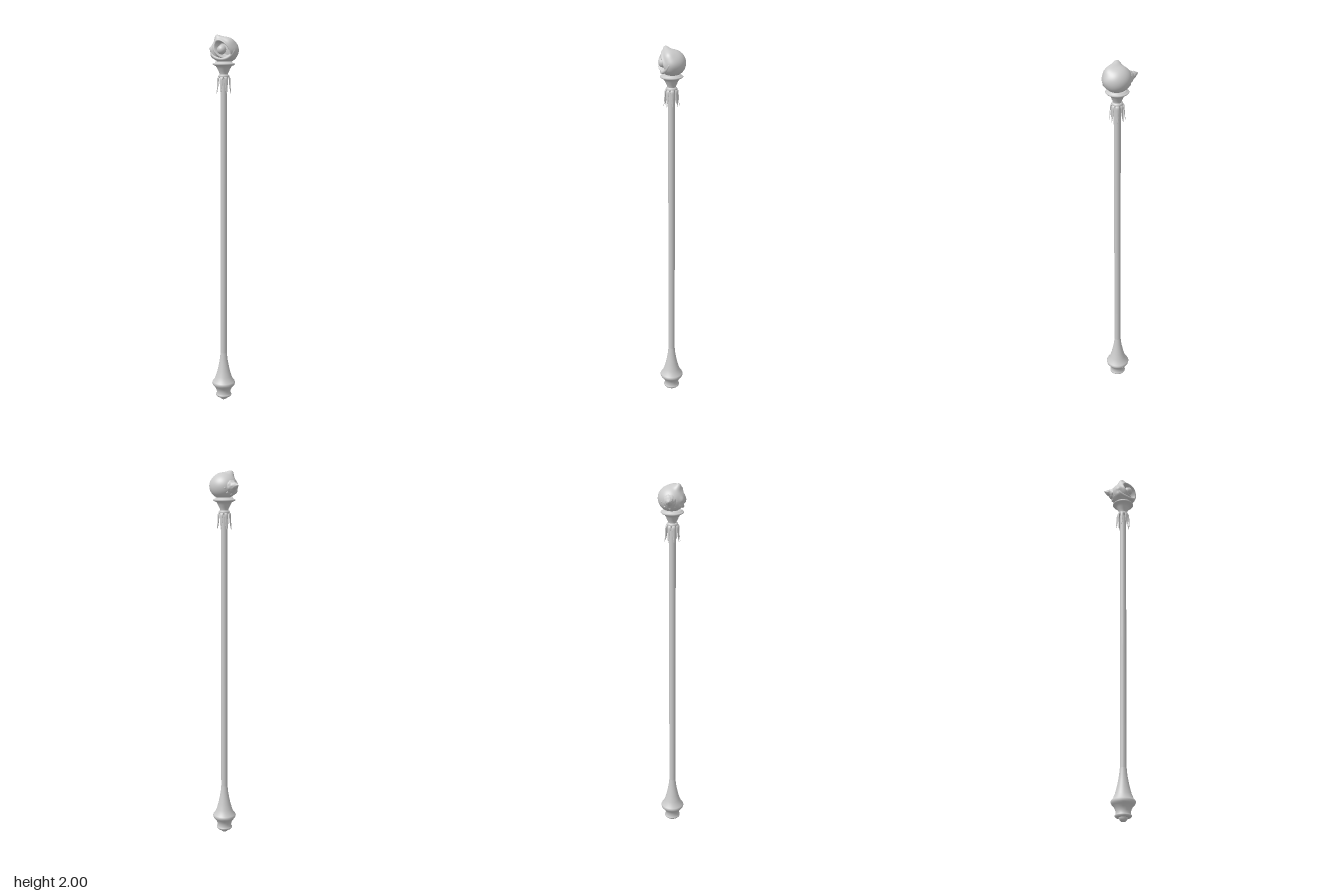
import * as THREE from 'three';

const AXIS_X = 0.009;
const V = (x, y, z) => new THREE.Vector3(x, y, z);

export function createModel() {
  const staff = new THREE.Group();
  staff.name = 'staff';
  const mat = new THREE.MeshStandardMaterial({ color: 0xcccccc, side: THREE.DoubleSide });

  const add = (name, geo, parent = staff) => {
    const mesh = new THREE.Mesh(geo, mat);
    mesh.name = name;
    parent.add(mesh);
    return mesh;
  };
  const turned = (name, pts, parent) =>
    add(name, new THREE.LatheGeometry(pts.map(([r, y]) => new THREE.Vector2(r, y)), 40), parent);
  // Move every vertex of a geometry by a rule
  const deform = (geo, rule) => {
    const p = geo.attributes.position, v = V();
    for (let i = 0; i < p.count; i++) {
      rule(v.fromBufferAttribute(p, i));
      p.setXYZ(i, v.x, v.y, v.z);
    }
    geo.computeVertexNormals();
    return geo;
  };

  // Turned parts on the staff axis
  const pole = new THREE.Group();
  pole.name = 'pole';
  pole.position.x = AXIS_X;
  staff.add(pole);
  turned('shaft', [[0.0175, 0.25], [0.0175, 1.79]], pole);
  turned('pommelFlare', [[0.054, 0.082], [0.061, 0.09], [0.064, 0.1], [0.061, 0.108], [0.052, 0.118],
    [0.043, 0.14], [0.034, 0.172], [0.026, 0.21], [0.021, 0.24], [0.0175, 0.275]], pole);
  turned('pommelFoot', [[0.022, 0.022], [0.038, 0.022], [0.043, 0.028], [0.043, 0.034], [0.038, 0.038],
    [0.039, 0.055], [0.045, 0.07], [0.055, 0.083]], pole);
  turned('endKnob', [[0.0001, 0], [0.01, 0.002], [0.018, 0.008], [0.023, 0.018], [0.023, 0.026]], pole);
  turned('neckRing', [[0.018, 1.774], [0.027, 1.778], [0.03, 1.785], [0.027, 1.792], [0.021, 1.795]], pole);
  turned('cup', [[0.021, 1.792], [0.022, 1.8], [0.027, 1.81], [0.033, 1.824], [0.041, 1.837],
    [0.056, 1.844], [0.059, 1.848], [0.056, 1.852], [0.046, 1.854], [0.044, 1.862], [0.0001, 1.862]], pole);

  // Drooping pointed leaves below the neck ring
  const leafPath = new THREE.CatmullRomCurve3([V(0, 1.788, 0.019), V(0, 1.778, 0.031),
    V(0, 1.755, 0.034), V(0, 1.725, 0.036), V(0, 1.698, 0.04)]);
  for (let i = 0; i < 8; i++) {
    const leaf = deform(new THREE.CylinderGeometry(1, 1, 1, 10, 14), v => {
      const t = 0.5 - v.y, c = leafPath.getPoint(t);
      const width = 0.0105 * Math.sqrt(1 - t * 0.98) * (0.75 + 0.35 * Math.sin(Math.PI * t));
      v.set(v.x * width, c.y, c.z + v.z * 0.004 * (1 - 0.75 * t) - 4 * (v.x * width) ** 2);
    });
    add('leaf', leaf, pole).rotation.y = i * Math.PI / 4;
  }

  // Shell body: an ellipsoid with a crest, a raised lip and a sunken slanting mouth
  const shell = new THREE.Group();
  shell.name = 'shell';
  shell.position.set(0.012, 1.918, -0.004);
  staff.add(shell);
  const swellings = [ // direction, height, sharpness
    [V(-0.033, 0.08, 0.034), 0.021, 34],
    [V(0.0, 0.075, 0.037), 0.008, 16],
    [V(0.043, 0.057, 0.03), 0.01, 12],
    [V(0.078, 0.008, 0.014), 0.004, 14],
    [V(-0.055, 0.004, 0.042), 0.006, 40],
    [V(-0.05, -0.03, 0.035), 0.007, 40],
  ].map(([d, h, k]) => [d.normalize(), h, k]);
  const smooth = THREE.MathUtils.smoothstep;
  const body = new THREE.SphereGeometry(1, 72, 72).rotateX(Math.PI / 2);
  add('shellBody', deform(body, v => {
    const dir = v.clone().normalize();
    v.set(dir.x * 0.074, dir.y * 0.066, dir.z * 0.068);
    for (const [d, h, k] of swellings) v.addScaledVector(dir, h * Math.exp(-k * (1 - dir.dot(d))));
    if (dir.z > 0) {
      const x = v.x - 0.01, y = v.y - 0.006;
      const e = Math.hypot((x - y) * 0.707 / 0.05, (x + y) * 0.707 / 0.03);
      v.z += 0.006 * Math.exp(-(((e - 1.15) / 0.18) ** 2));
      v.z -= v.z * 0.7 * (1 - smooth(e, 0.72, 1.08));
    }
  }), shell);

  // Pearl held in the mouth
  add('pearl', new THREE.SphereGeometry(0.024, 32, 24), shell).position.set(0.004, 0.004, 0.047);

  // Spire: shrinking whorls leading to the tip
  const spireProfile = [];
  for (let i = 0; i <= 40; i++) {
    const t = i / 40;
    const r = 0.047 * (1 - t) ** 0.9 + 0.0035 * Math.sin(t * Math.PI * 6) * (1 - t);
    spireProfile.push(new THREE.Vector2(Math.max(r, 0.0001), t * 0.08));
  }
  const spireGeo = deform(new THREE.LatheGeometry(spireProfile, 40), v => {
    const a = Math.atan2(v.z, v.x), s = 1 + 0.04 * Math.cos(a * 8) * Math.sin(v.y * 230);
    v.x *= s;
    v.z *= s;
  });
  const spire = add('spire', spireGeo, shell);
  const from = V(-0.033, -0.002, -0.012), tip = V(-0.102, 0.009, -0.037);
  const along = tip.clone().sub(from).normalize();
  spire.position.copy(from);
  spire.quaternion.setFromUnitVectors(V(0, 1, 0), along);

  // Row of blunt knobs around the shoulder of the shell
  for (let i = 0; i < 9; i++) {
    const a = i / 9 * Math.PI * 2;
    const knob = add('shoulderKnob', new THREE.SphereGeometry(0.0065, 14, 10), spire);
    knob.position.set(Math.cos(a) * 0.037, 0.016, Math.sin(a) * 0.037);
    knob.scale.set(1.3, 1, 1);
    knob.rotation.y = -a;
  }

  // Curled lower lip running under the mouth into the cup
  const lipPath = new THREE.CatmullRomCurve3([V(-0.057, 0.0, 0.036), V(-0.045, -0.026, 0.046),
    V(-0.012, -0.041, 0.054), V(0.025, -0.041, 0.052), V(0.05, -0.026, 0.041), V(0.064, 0, 0.026)]);
  const lipGeo = new THREE.TubeGeometry(lipPath, 40, 0.008, 12);
  add('lowerLip', lipGeo, shell);
  for (const t of [0, 1]) add('lipEnd', new THREE.SphereGeometry(0.008, 12, 10), shell).position.copy(lipPath.getPoint(t));

  return staff;
}
